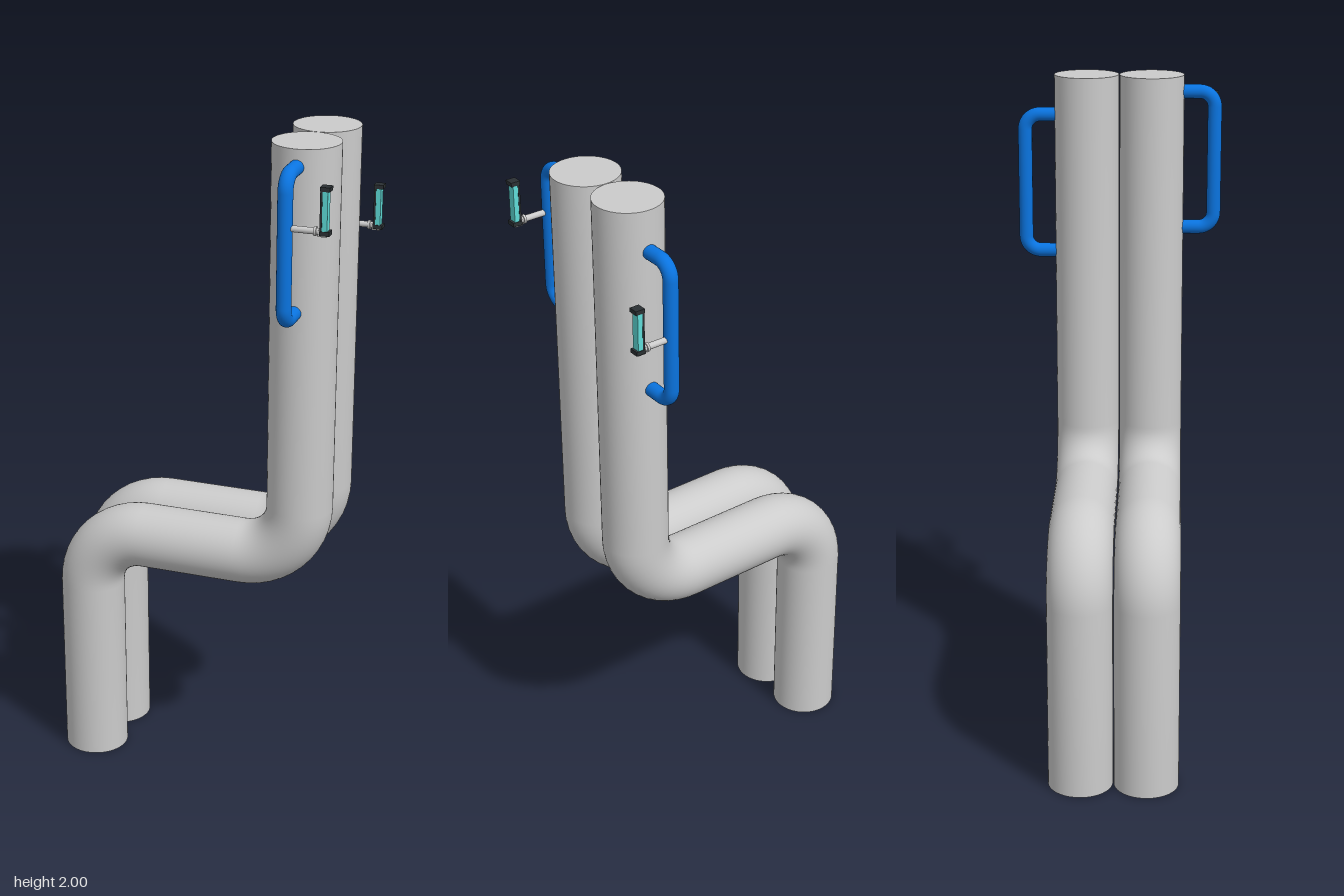
import * as THREE from 'three';

const mat = (color) => new THREE.MeshStandardMaterial({ color });
const grey = mat(0xcccccc), blue = mat(0x0a74e0), dark = mat(0x2b3033), cyan = mat(0x5fdcd8);

function add(parent, name, geometry, material, x = 0, y = 0, z = 0) {
  const mesh = new THREE.Mesh(geometry, material);
  mesh.name = name;
  mesh.position.set(x, y, z);
  parent.add(mesh);
  return mesh;
}

// Centre line through the corner points, with circular bends of radius r
function bentPath(corners, r) {
  const pts = corners.map((c) => new THREE.Vector3(...c));
  const out = [pts[0]];
  for (let i = 1; i < pts.length - 1; i++) {
    const a = pts[i - 1].clone().sub(pts[i]).normalize();
    const b = pts[i + 1].clone().sub(pts[i]).normalize();
    const centre = pts[i].clone().addScaledVector(a, r).addScaledVector(b, r);
    for (let k = 0; k <= 12; k++) {
      const t = (k / 12) * Math.PI / 2;
      out.push(centre.clone()
        .addScaledVector(b, -r * Math.cos(t))
        .addScaledVector(a, -r * Math.sin(t)));
    }
  }
  out.push(pts[pts.length - 1]);
  return out;
}

// Round pipe swept along a path lying in a plane with the given normal, with flat end caps
function pipe(parent, name, path, radius, normal, sides, material) {
  const group = new THREE.Group();
  group.name = name;
  parent.add(group);
  const n = path.length, pos = [], nor = [], idx = [];
  path.forEach((p, i) => {
    const tangent = path[Math.min(i + 1, n - 1)].clone().sub(path[i]).normalize()
      .add(path[i].clone().sub(path[Math.max(i - 1, 0)]).normalize()).normalize();
    const side = tangent.clone().cross(normal);
    for (let j = 0; j <= sides; j++) {
      const t = (j / sides) * Math.PI * 2;
      const d = normal.clone().multiplyScalar(Math.cos(t)).addScaledVector(side, -Math.sin(t));
      nor.push(d.x, d.y, d.z);
      pos.push(p.x + d.x * radius, p.y + d.y * radius, p.z + d.z * radius);
      if (i < n - 1 && j < sides) {
        const a = i * (sides + 1) + j, b = a + sides + 1;
        idx.push(a, a + 1, b, a + 1, b + 1, b);
      }
    }
  });
  const geometry = new THREE.BufferGeometry();
  geometry.setAttribute('position', new THREE.Float32BufferAttribute(pos, 3));
  geometry.setAttribute('normal', new THREE.Float32BufferAttribute(nor, 3));
  geometry.setIndex(idx);
  const wall = material.clone();
  wall.side = THREE.DoubleSide;
  add(group, name + 'Wall', geometry, wall);
  for (const [end, next] of [[0, 1], [n - 1, n - 2]]) {
    const cap = add(group, name + 'Cap', new THREE.CircleGeometry(radius, sides), material, ...path[end].toArray());
    const out = path[end].clone().sub(path[next]).normalize();
    cap.quaternion.setFromUnitVectors(new THREE.Vector3(0, 0, 1), out);
  }
}

// Gauge with its stem: a dark channel holding a coloured strip that faces +x
function gauge(parent, name, x, y, z) {
  const g = new THREE.Group();
  g.name = name;
  g.position.set(x, y, z);
  parent.add(g);
  const stemLength = x - 0.313;
  const stem = add(g, 'stem', new THREE.CylinderGeometry(0.009, 0.009, stemLength, 20), grey, -stemLength / 2, 0, 0);
  stem.rotation.z = Math.PI / 2;
  const collar = add(g, 'collar', new THREE.CylinderGeometry(0.013, 0.013, 0.007, 20), grey, -0.025, 0, 0);
  collar.rotation.z = Math.PI / 2;
  add(g, 'elbow', new THREE.BoxGeometry(0.024, 0.018, 0.02), grey, -0.004, -0.003, 0);
  add(g, 'backPlate', new THREE.BoxGeometry(0.006, 0.13, 0.026), dark, -0.008, 0.058, 0);
  add(g, 'strip', new THREE.BoxGeometry(0.015, 0.11, 0.024), cyan, 0.002, 0.058, 0);
  for (const capY of [-0.002, 0.118]) {
    add(g, 'endCap', new THREE.BoxGeometry(0.028, 0.012, 0.028), dark, 0.002, capY, 0);
  }
}

export function createModel() {
  const model = new THREE.Group();
  model.name = 'twinPipes';
  const zAxis = new THREE.Vector3(0, 0, 1), xAxis = new THREE.Vector3(1, 0, 0);
  const lines = [
    { label: 'front', z: 0.095, tubeZ: 0.283, low: 1.54, high: 1.95, gaugeX: 0.423, gaugeY: 1.81 },
    { label: 'back', z: -0.1, tubeZ: -0.286, low: 1.465, high: 1.88, gaugeX: 0.417, gaugeY: 1.665 },
  ];
  for (const { label, z, tubeZ, low, high, gaugeX, gaugeY } of lines) {
    // Large S-bent pipe
    pipe(model, label + 'Pipe', bentPath([
      [-0.345, 0, z], [-0.345, 0.745, z], [0.313, 0.745, z], [0.313, 2, z],
    ], 0.175), 0.0965, zAxis, 48, grey);
    // Small bypass tube, its ends sunk into the pipe
    pipe(model, label + 'BypassTube', bentPath([
      [0.313, low, z], [0.313, low, tubeZ], [0.313, high, tubeZ], [0.313, high, z],
    ], 0.045), 0.021, xAxis, 24, blue);
    gauge(model, label + 'Gauge', gaugeX, gaugeY, tubeZ);
  }
  return model;
}
